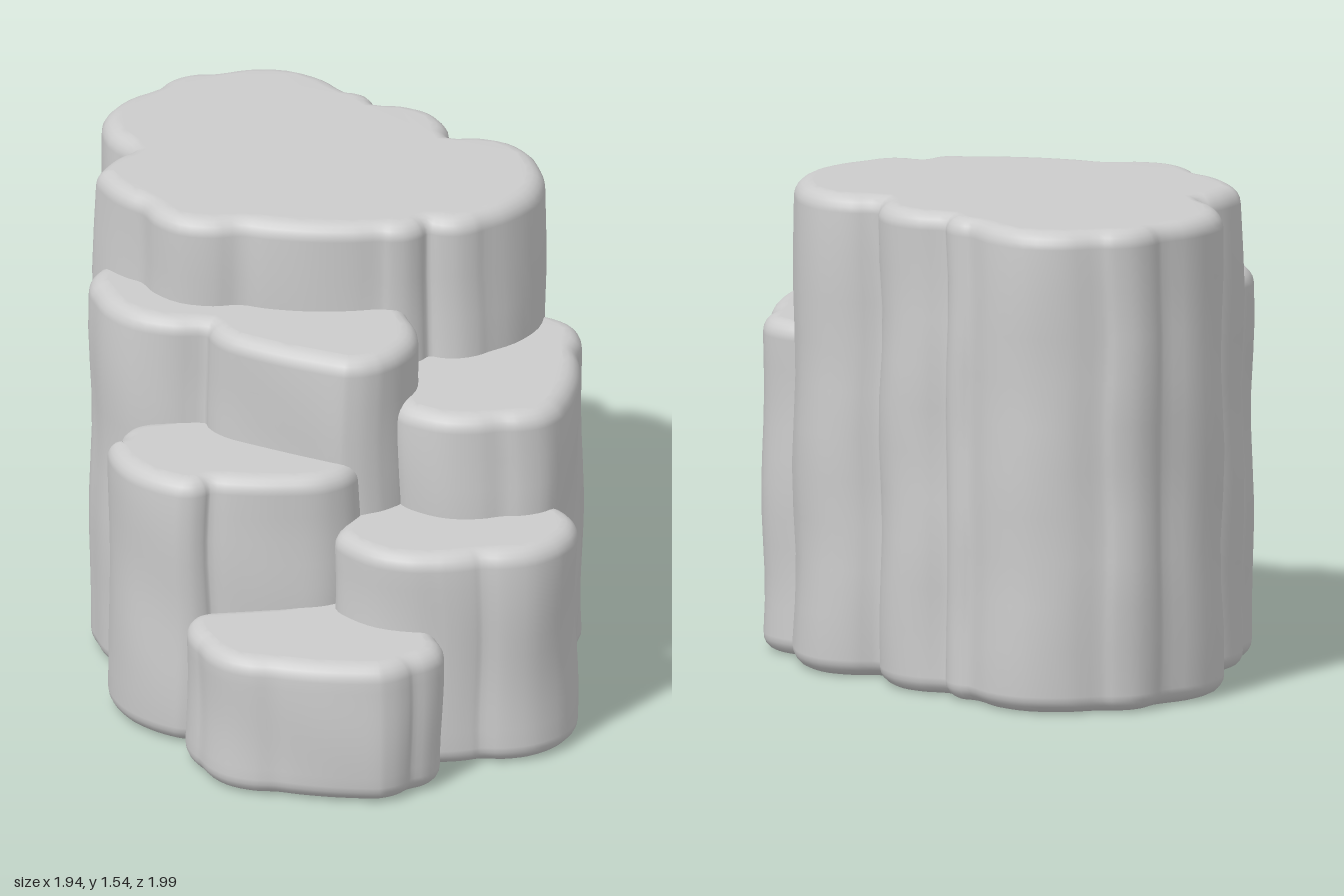
import * as THREE from 'three';
import { mergeVertices } from 'three/addons/utils/BufferGeometryUtils.js';

const BASE = 0.01;

// Closed plan outline made of lobes: every joint [x, z, bulge] is linked to the next
// by an arc that swells outward by bulge times the distance between them.
function lobedOutline(joints) {
  const points = [];
  joints.forEach(([x, z, bulge = 0.18], i) => {
    const [nx, nz] = joints[(i + 1) % joints.length];
    const dx = nx - x, dz = nz - z;
    for (const t of [0, 0.2, 0.5, 0.8]) {
      const out = bulge * 4 * t * (1 - t);
      points.push(new THREE.Vector3(x + dx * t + dz * out, -(z + dz * t - dx * out), 0));
    }
  });
  const curve = new THREE.CatmullRomCurve3(points, true, 'centripetal');
  return curve.getPoints(points.length * 3).slice(0, -1).map((p) => new THREE.Vector2(p.x, p.y));
}

// Rounded column, gently uneven up its sides.
function columnGeometry(joints, top, bevel = 0.055) {
  let geometry = new THREE.ExtrudeGeometry(new THREE.Shape(lobedOutline(joints)), {
    depth: top - BASE - 2 * bevel, steps: 10,
    bevelSize: bevel, bevelThickness: bevel, bevelOffset: -bevel, bevelSegments: 5,
  });
  geometry.rotateX(-Math.PI / 2);
  geometry.translate(0, BASE + bevel, 0);
  geometry.deleteAttribute('normal');
  geometry.deleteAttribute('uv');
  geometry = mergeVertices(geometry, 1e-4);

  const pos = geometry.attributes.position;
  for (let i = 0; i < pos.count; i++) {
    const x = pos.getX(i), y = pos.getY(i), z = pos.getZ(i);
    pos.setX(i, x + 0.005 * Math.sin(9 * y + 7 * z));
    pos.setZ(i, z + 0.005 * Math.sin(11 * y + 8 * x + 1));
  }
  geometry.computeVertexNormals();
  return geometry;
}

export function createModel() {
  const model = new THREE.Group();
  model.name = 'steppedRock';
  const stone = new THREE.MeshStandardMaterial({ color: 0xcccccc });

  const addTier = (name, top, joints) => {
    const mesh = new THREE.Mesh(columnGeometry(joints, top), stone);
    mesh.name = name;
    model.add(mesh);
  };

  // Tall column at the back
  addTier('tallColumn', 1.55, [
    [-0.8, -0.85, 0.23], [-0.36, -0.92], [-0.24, -0.87, 0.23], [0.08, -0.75, 0.23],
    [0.43, -0.69], [0.46, -0.25], [0.31, -0.14], [0.2, -0.02, 0.07], [-0.21, 0.14, 0.23],
    [-0.56, 0.13, 0.1], [-0.79, 0, 0.08], [-0.77, -0.2, 0.25], [-0.91, -0.66],
  ]);

  // Ledges stepping down around the front and left
  addTier('upperLedge', 1.26, [
    [0.3, -0.04], [0.37, 0.3, 0.1], [0.27, 0.39, 0.02], [-0.1, 0.38, 0.1],
    [-0.25, 0.3, 0.23], [-0.68, 0.22], [-0.72, 0], [-0.2, -0.2],
  ]);
  addTier('sideLedge', 1.075, [
    [0.45, -0.6, 0.25], [0.69, -0.42, 0.05], [0.83, -0.06, 0.22], [0.72, 0.17], [0.4, 0.24],
    [0.3, -0.3],
  ]);
  addTier('middleLedge', 0.91, [
    [0.3, 0.3], [0.25, 0.53, 0.05], [-0.05, 0.67], [-0.14, 0.74, 0.14], [-0.46, 0.56],
    [-0.45, 0.5, 0.22], [-0.38, 0.32], [-0.1, 0.2],
  ]);
  addTier('lowerSideLedge', 0.735, [
    [0.82, 0], [0.97, 0.2], [0.79, 0.45, 0.05], [0.68, 0.54], [0.31, 0.52], [0.4, 0.15],
  ]);
  addTier('frontStep', 0.475, [
    [0.68, 0.55, 0.25], [0.7, 0.76, 0.1], [0.64, 0.87, 0.05], [0.32, 0.97], [0.03, 0.91, 0.08],
    [-0.07, 0.8], [-0.04, 0.69, 0], [0.15, 0.55], [0.35, 0.42],
  ]);
  return model;
}
